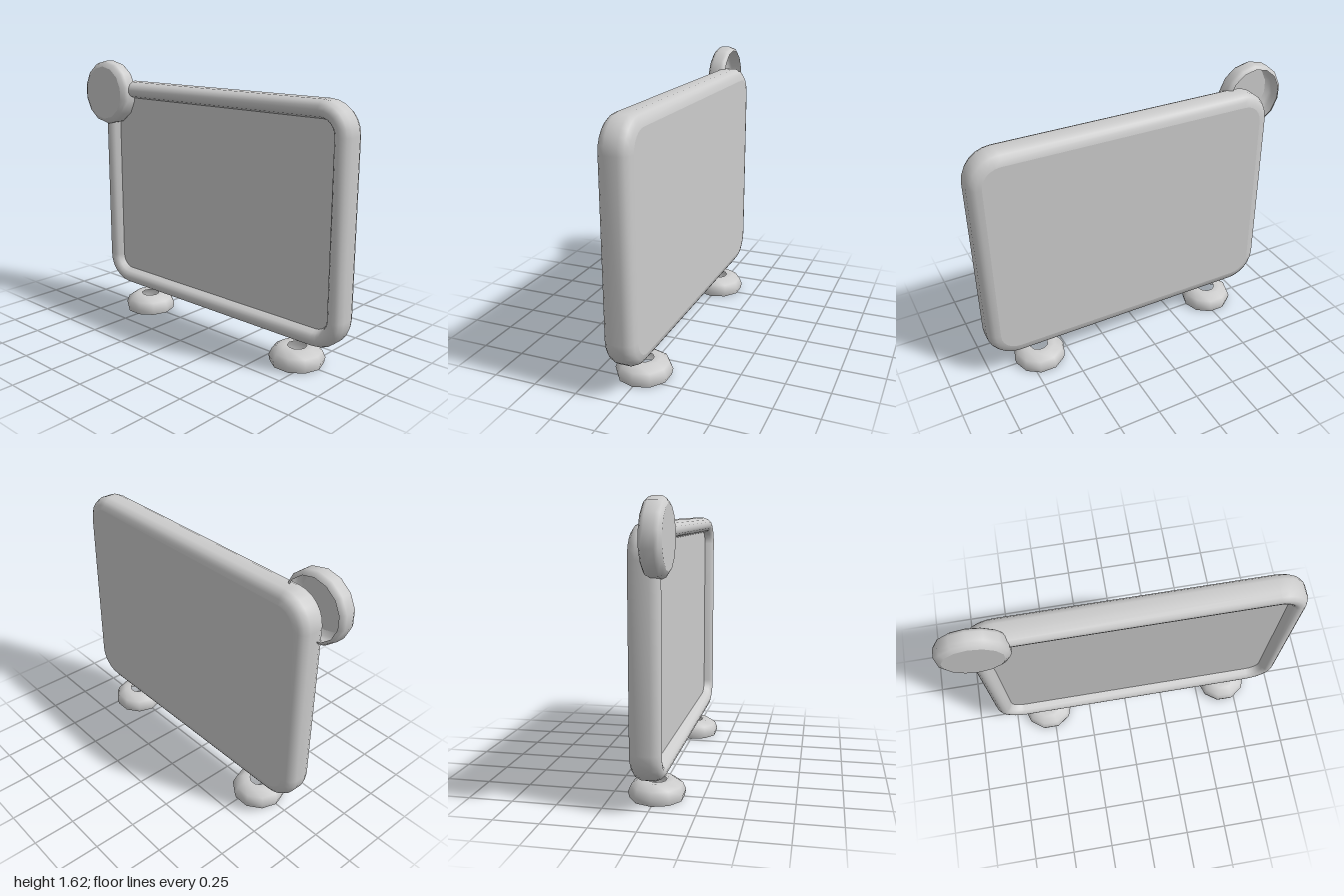
import * as THREE from 'three';

// Counter-clockwise rounded rectangle, shrunk by an inset
function outline(inset, steps = 6) {
  const L = -0.85, R = 1, B = 0.15, T = 1.49, r = 0.18;
  const corners = [[R - r, B + r, -0.5], [R - r, T - r, 0], [L + r, T - r, 0.5], [L + r, B + r, 1]];
  const points = [];
  for (const [cx, cy, start] of corners) {
    for (let i = 0; i <= steps; i++) {
      const a = (start + 0.5 * i / steps) * Math.PI;
      points.push(new THREE.Vector2(cx + (r - inset) * Math.cos(a), cy + (r - inset) * Math.sin(a)));
    }
  }
  return points;
}

// Sweeps an [inset, z] profile, listed from back to front, around the outline
function frameGeometry(profile) {
  const positions = [], index = [];
  const n = outline(0).length;
  for (const [inset, z] of profile) {
    for (const p of outline(inset)) positions.push(p.x, p.y, z);
  }
  for (let i = 0; i < profile.length - 1; i++) {
    for (let j = 0; j < n; j++) {
      const a = i * n + j, b = i * n + (j + 1) % n;
      index.push(a, b, b + n, a, b + n, a + n);
    }
  }
  const geometry = new THREE.BufferGeometry();
  geometry.setAttribute('position', new THREE.Float32BufferAttribute(positions, 3));
  geometry.setIndex(index);
  geometry.computeVertexNormals();
  return geometry;
}

function lathe(profile, sides, start = 0) {
  return new THREE.LatheGeometry(profile.map(([r, y]) => new THREE.Vector2(r, y)), sides, start);
}

export function createModel() {
  const model = new THREE.Group();
  const grey = new THREE.MeshStandardMaterial({ color: 0xcccccc, side: THREE.DoubleSide });
  grey.name = 'light grey';

  const add = (name, geometry, x = 0, y = 0, z = 0) => {
    const mesh = new THREE.Mesh(geometry, grey);
    mesh.name = name;
    mesh.position.set(x, y, z);
    model.add(mesh);
    return mesh;
  };

  // Rounded frame, from the back edge over the side to the inner front lip
  add('frame', frameGeometry([
    [0.07, -0.09], [0.04, -0.083], [0.015, -0.066], [0, -0.035],
    [0, 0.035], [0.013, 0.064], [0.03, 0.08], [0.05, 0.085],
    [0.07, 0.08], [0.087, 0.064], [0.1, 0.03],
  ]));

  // Recessed front panel and flat back panel
  add('frontPanel', new THREE.ShapeGeometry(new THREE.Shape(outline(0.1))), 0, 0, 0.03);
  const back = new THREE.ShapeGeometry(new THREE.Shape(outline(0.07)));
  back.scale(-1, 1, 1);
  back.rotateY(Math.PI);
  back.scale(1, 1, 1);
  // Reverse the corners so the panel faces backwards
  const order = back.index.array;
  for (let i = 0; i < order.length; i += 3) [order[i], order[i + 1]] = [order[i + 1], order[i]];
  back.computeVertexNormals();
  add('backPanel', back, 0, 0, -0.09);

  // Round knob at the upper corner, hollow at the back
  const knobRim = lathe([
    [0.175, 0.012], [0.192, 0.022], [0.2, 0.04], [0.2, 0.09], [0.19, 0.11], [0.165, 0.125],
  ], 14);
  knobRim.rotateX(Math.PI / 2);
  add('knobRim', knobRim, -0.8, 1.416, 0);
  add('knobFace', new THREE.CircleGeometry(0.165, 14, Math.PI / 2), -0.8, 1.416, 0.125);

  // Hollow ten-sided feet with a hole in the top
  for (const [name, x] of [['rightFoot', -0.53], ['leftFoot', 0.68]]) {
    add(name, lathe([
      [0.152, 0], [0.16, 0.035], [0.143, 0.075], [0.098, 0.105], [0.055, 0.1],
    ], 10, Math.PI / 2), x);
  }
  return model;
}
